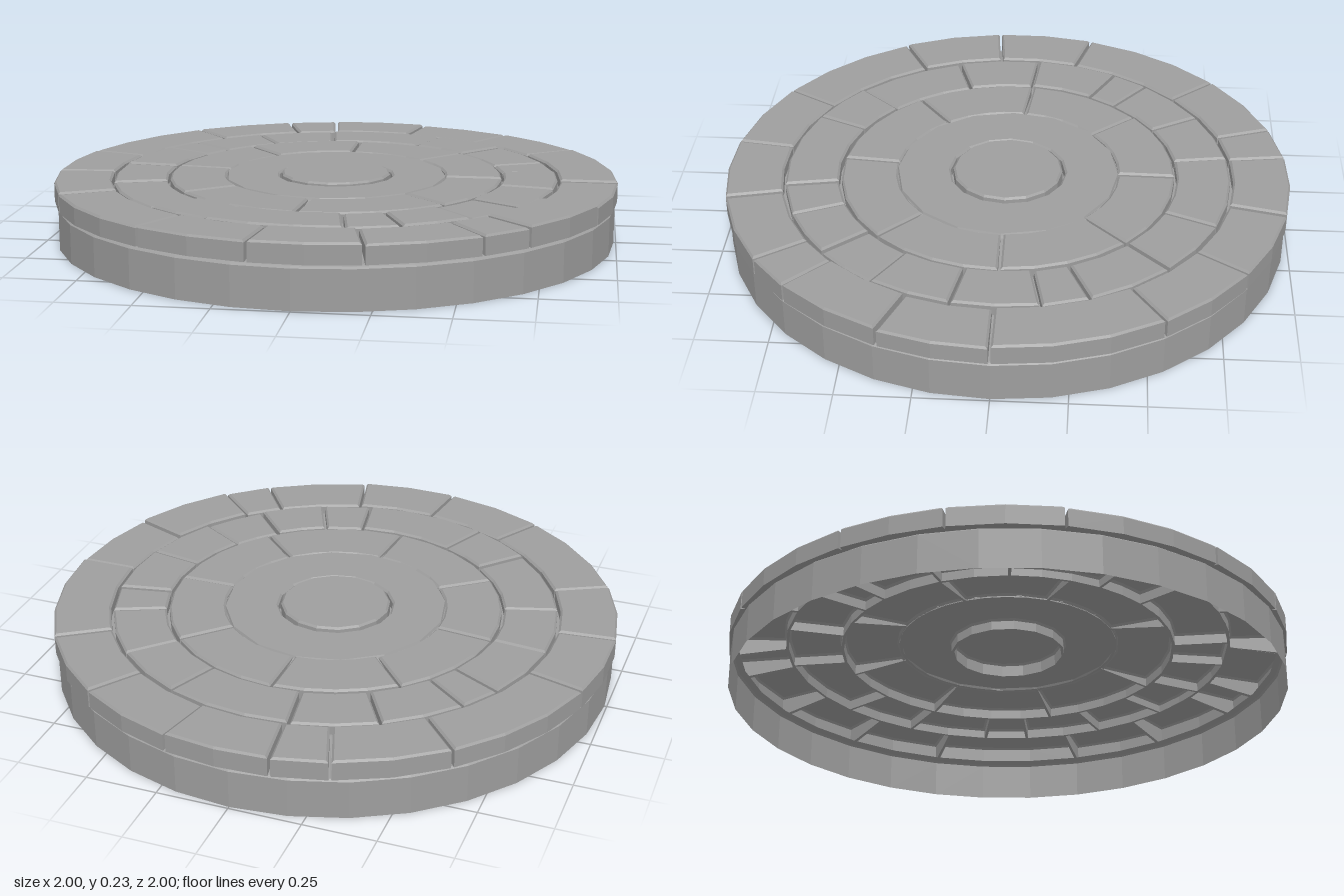
import * as THREE from 'three';

const RAD = Math.PI / 180;
const material = new THREE.MeshStandardMaterial({ color: 0x9e9e9e, flatShading: true, side: THREE.DoubleSide });
const FLOOR = 0.18;  // bottom of the joints
const GAP = 0.005;   // half the joint between stones
const LAP = 0.004;   // joint floors overlap a little so they close
const BEVEL = 0.007;

// Small repeatable variation for the stone heights
let seed = 7;
const vary = () => (seed = (seed * 16807) % 2147483647) / 2147483647;

function add(group, name, geometry) {
  const mesh = new THREE.Mesh(geometry, material);
  mesh.name = name;
  group.add(mesh);
}

// Outline of a ring sector, shrunk by an inset: outer arc out, inner arc back
function outline(rIn, rOut, a0, a1, n, inset, outerInset, outerY, innerY) {
  const points = [];
  const arc = (r, y, back) => {
    const s = a0 + inset / r, e = a1 - inset / r;
    for (let i = 0; i <= n; i++) {
      const t = s + (e - s) * (back ? n - i : i) / n;
      points.push([r * Math.cos(t), y, r * Math.sin(t)]);
    }
  };
  arc(rOut - outerInset, outerY, false);
  arc(rIn + inset, innerY, true);
  return points;
}

// Hollow stone, open below: joint floor, wall, bevel and top
function stoneGeometry({ rIn, rOut, outerFloor, innerFloor, outerLap }, a0, a1, n, top) {
  const level = (inset, outerInset, outerY, innerY) =>
    outline(rIn, rOut, a0, a1, n, inset, outerInset, outerY, innerY);
  const levels = [
    level(-LAP, outerLap, outerFloor, innerFloor),
    level(GAP, GAP, outerFloor, innerFloor),
    level(GAP, GAP, top - BEVEL, top - BEVEL),
    level(GAP + BEVEL, GAP + BEVEL, top, top),
  ];
  const pos = [];
  const tri = (...corners) => corners.forEach((c) => pos.push(...c));
  const L = levels[0].length;
  for (let k = 0; k < levels.length - 1; k++) {
    for (let i = 0; i < L; i++) {
      const j = (i + 1) % L, lo = levels[k], hi = levels[k + 1];
      tri(lo[i], hi[i], lo[j]);
      tri(lo[j], hi[i], hi[j]);
    }
  }
  const cap = levels[levels.length - 1];
  for (let i = 0; i < n; i++) {
    const a = cap[i], b = cap[i + 1], c = cap[L - 2 - i], d = cap[L - 1 - i];
    tri(a, d, b);
    tri(b, d, c);
  }
  const geometry = new THREE.BufferGeometry();
  geometry.setAttribute('position', new THREE.Float32BufferAttribute(pos, 3));
  geometry.computeVertexNormals();
  return geometry;
}

// Stones of one ring, split at the given joint angles (degrees from +x towards +z)
function stoneRing(name, size, low, spread, joints) {
  const ring = new THREE.Group();
  ring.name = name;
  joints.forEach((a0, i) => {
    const a1 = i + 1 < joints.length ? joints[i + 1] : joints[0] + 360;
    const n = Math.max(1, Math.round((a1 - a0) / 11.25));
    add(ring, 'stone' + (i + 1), stoneGeometry(size, a0 * RAD, a1 * RAD, n, low + spread * vary()));
  });
  return ring;
}

function lathe(points, segments) {
  return new THREE.LatheGeometry(points.map(([r, y]) => new THREE.Vector2(r, y)), segments);
}

export function createModel() {
  const model = new THREE.Group();
  model.name = 'roundStonePlatform';

  // Base wall, open below, turning in to a narrow groove under the rim stones
  add(model, 'baseWall', lathe([[0.992, 0], [0.992, 0.136], [0.985, 0.142], [0.965, 0.151]], 32));

  // Paving rings, from the rim inwards
  model.add(stoneRing('outerRing',
    { rIn: 0.795, rOut: 1.005, outerFloor: 0.15, innerFloor: FLOOR, outerLap: 0.035 }, 0.215, 0.009,
    [0, 21.5, 44, 54.5, 77, 98, 121, 153, 175, 196, 228.5, 251, 262, 283, 304.5, 326.5]));
  model.add(stoneRing('middleRing',
    { rIn: 0.597, rOut: 0.795, outerFloor: FLOOR, innerFloor: FLOOR, outerLap: -LAP }, 0.213, 0.01,
    [10.5, 31.5, 48.5, 66.5, 80, 114.5, 132.5, 163, 185.5, 208, 218.5, 239.5, 261, 293, 314.5, 337, 349]));
  model.add(stoneRing('innerRing',
    { rIn: 0.388, rOut: 0.597, outerFloor: FLOOR, innerFloor: 0.208, outerLap: -LAP }, 0.217, 0.006,
    [-0.5, 44.5, 95, 143, 186, 229, 271, 315]));

  // Plain ring around the centre, meeting the inner ring almost flush
  add(model, 'centreRing', lathe(
    [[0.404, 0.207], [0.396, 0.211], [0.392, 0.219], [0.212, 0.219], [0.205, 0.212], [0.205, FLOOR], [0.2, FLOOR]], 16));

  // Raised centre stone
  add(model, 'centreStone', lathe(
    [[0.2, FLOOR], [0.195, FLOOR], [0.195, 0.221], [0.188, 0.228], [0, 0.228]], 16));

  return model;
}
